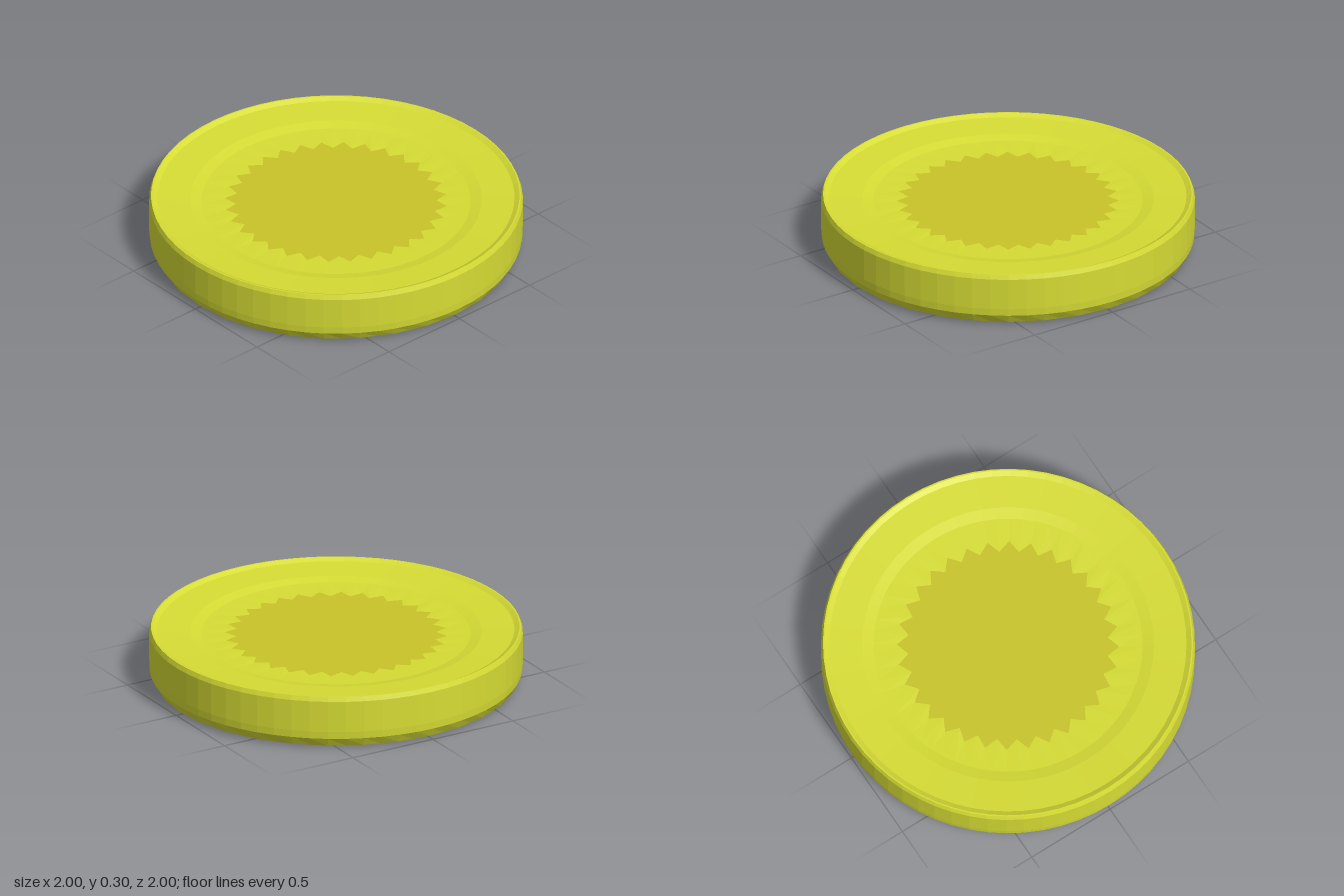
import * as THREE from 'three';

const SEGMENTS = 64;

// Revolves a profile of [radius, height, oddScale]; oddScale moves every second spoke
// inward, giving either a coarser 32-sided ring or a zigzag edge.
function spokedLathe(profile) {
  const points = profile.map(([r, y]) => new THREE.Vector2(r, y));
  const geometry = new THREE.LatheGeometry(points, SEGMENTS);
  const pos = geometry.attributes.position;
  for (let i = 1; i < SEGMENTS; i += 2) {
    profile.forEach(([, , oddScale = 1], j) => {
      const k = i * profile.length + j;
      pos.setX(k, pos.getX(k) * oddScale);
      pos.setZ(k, pos.getZ(k) * oddScale);
    });
  }
  geometry.computeVertexNormals();
  return geometry;
}

function part(name, geometry, color) {
  const material = new THREE.MeshStandardMaterial({ color, flatShading: true });
  const mesh = new THREE.Mesh(geometry, material);
  mesh.name = name;
  return mesh;
}

export function createModel() {
  const group = new THREE.Group();
  group.name = 'disc';

  const coarse = Math.cos(Math.PI / 32); // midpoint of a 32-sided chord
  const zigzag = [0.595, 0.257, 0.9];

  // Body: shallow underside, chamfer, wall, rim and dished top
  group.add(part('body', spokedLathe([
    [0, 0],
    [0.87, 0.005, coarse],
    [0.97, 0.01, coarse],
    [0.997, 0.06],
    [1, 0.1],
    [1, 0.275],
    [0.99, 0.3],
    [0.982, 0.3],
    [0.955, 0.286],
    [0.78, 0.274],
    [0.72, 0.262],
    zigzag,
  ]), 0xd6dc34));

  // Flat centre with a toothed outline
  group.add(part('centre', spokedLathe([zigzag, [0, 0.257]]), 0xc8c428));

  return group;
}
